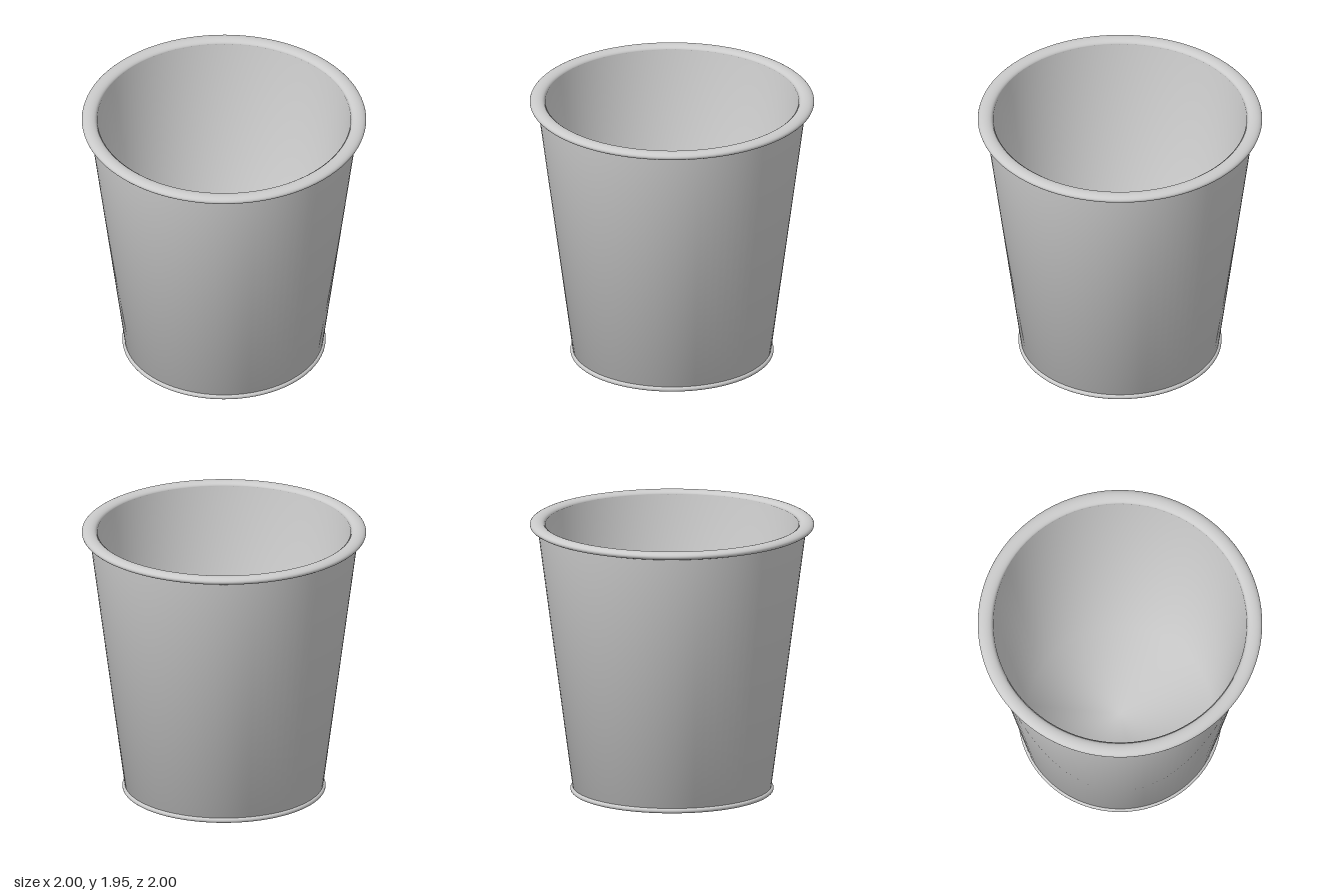
import * as THREE from 'three';

const SEGMENTS = 96;
const grey = new THREE.MeshStandardMaterial({ color: 0xcccccc });

// Rolled edge: a ring with an elliptical cross-section
function rolledEdge(name, radius, halfWidth, halfHeight, y) {
  const geometry = new THREE.TorusGeometry(radius, halfWidth, 20, SEGMENTS);
  geometry.rotateX(Math.PI / 2);
  geometry.scale(1, halfHeight / halfWidth, 1);
  const mesh = new THREE.Mesh(geometry, grey);
  mesh.name = name;
  mesh.position.y = y;
  return mesh;
}

export function createModel() {
  const model = new THREE.Group();
  model.name = 'cup';

  // Hollow tapered body: underside, outer wall, top edge, inner wall and floor
  const profile = [
    [0, 0.02], [0.697, 0.02], [0.948, 1.925],
    [0.89, 1.925], [0.65, 0.075], [0, 0.075],
  ].map(([r, y]) => new THREE.Vector2(r, y));
  const body = new THREE.Mesh(new THREE.LatheGeometry(profile, SEGMENTS), grey);
  body.name = 'body';
  model.add(body);

  // Rolled lip and narrow foot ring
  model.add(rolledEdge('lip', 0.948, 0.052, 0.028, 1.922));
  model.add(rolledEdge('footRing', 0.695, 0.02, 0.018, 0.018));

  return model;
}
